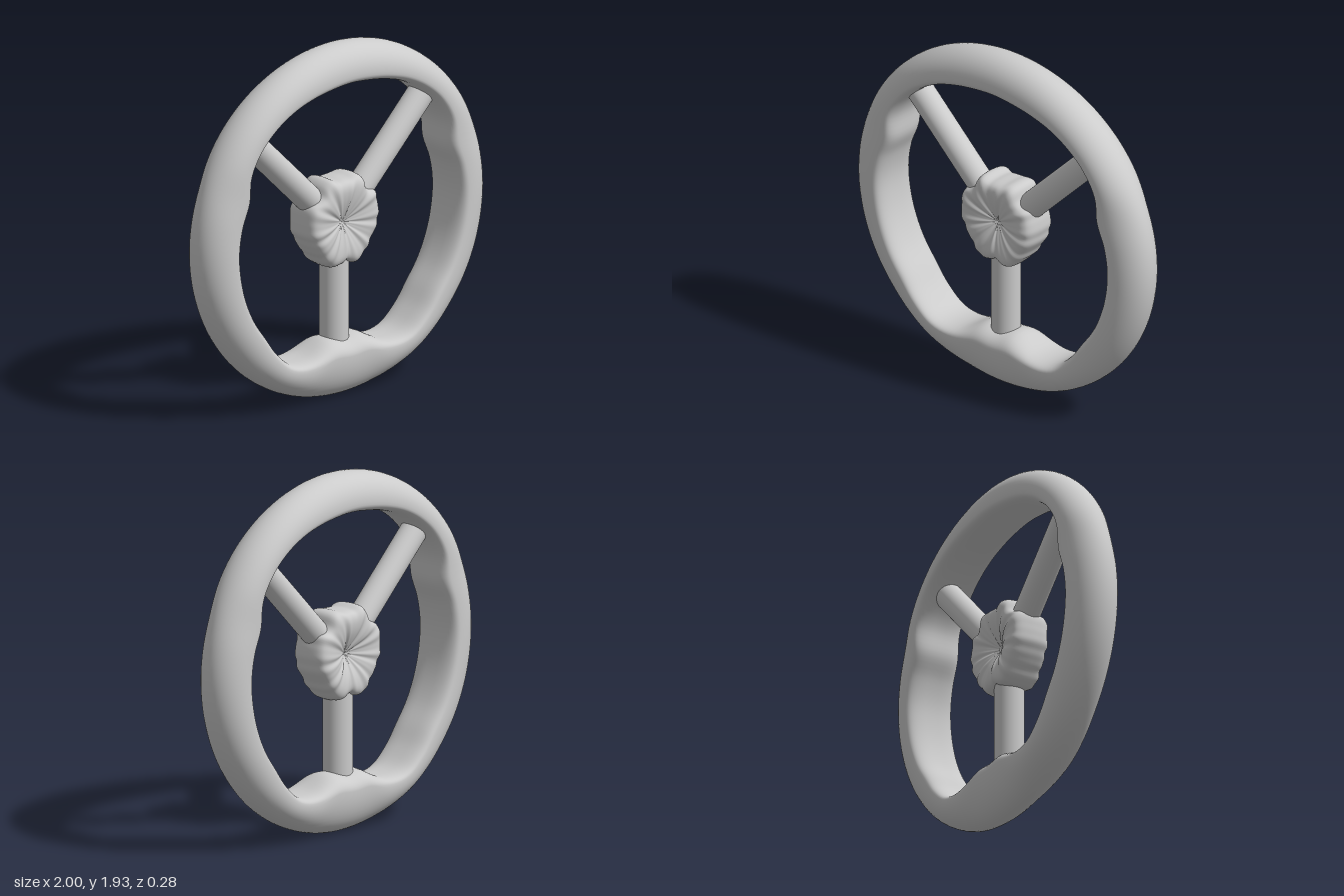
import * as THREE from 'three';

const CY = 0.967; // height of the wheel centre
const TAU = Math.PI * 2;
const material = new THREE.MeshStandardMaterial({ color: 0xcccccc });

// Smooth lookup in a table of evenly spaced values, u in 0..1
function sample(table, u) {
  const f = u * (table.length - 1);
  const i = Math.min(Math.floor(f), table.length - 2);
  const t = f - i;
  const at = (k) => table[Math.max(0, Math.min(table.length - 1, k))];
  const [a, b, c, d] = [at(i - 1), at(i), at(i + 1), at(i + 2)];
  return b + 0.5 * t * (c - a + t * (2 * a - 5 * b + 4 * c - d + t * (3 * (b - c) + d - a)));
}

// Mesh swept around the z axis; point(angle, v) gives [radius, z]
function sweep(name, nu, nv, closed, point) {
  const pos = [], index = [];
  const rows = closed ? nv : nv + 1;
  for (let i = 0; i < nu; i++) {
    const a = (i / nu) * TAU;
    for (let j = 0; j < rows; j++) {
      const [r, z] = point(a, j / nv);
      pos.push(r * Math.cos(a), r * Math.sin(a), z);
    }
  }
  for (let i = 0; i < nu; i++) {
    for (let j = 0; j < nv; j++) {
      const i2 = (i + 1) % nu, j2 = (j + 1) % rows;
      const a = i * rows + j, b = i2 * rows + j, c = i2 * rows + j2, d = i * rows + j2;
      index.push(a, b, c, a, c, d);
    }
  }
  const geo = new THREE.BufferGeometry();
  geo.setAttribute('position', new THREE.Float32BufferAttribute(pos, 3));
  geo.setIndex(index);
  geo.computeVertexNormals();
  const mesh = new THREE.Mesh(geo, material);
  mesh.name = name;
  return mesh;
}

// 0 at the bottom, 1 at the top, the same on both sides
const climb = (a) => Math.asin(Math.max(-1, Math.min(1, Math.sin(a)))) / Math.PI + 0.5;

// Inner edge of the rim from bottom to top, with grips and a bulge at the lower spoke
const INNER = [0.645, 0.652, 0.752, 0.806, 0.8, 0.781, 0.783, 0.783, 0.782, 0.78,
  0.768, 0.752, 0.804, 0.816, 0.807, 0.79, 0.77, 0.757, 0.755];

function rimPoint(a, v) {
  const phi = v * TAU, c = Math.cos(phi), s = Math.sin(phi);
  const outer = 1 / Math.hypot(Math.cos(a), Math.sin(a) / CY);
  const inner = sample(INNER, climb(a));
  const bulge = THREE.MathUtils.smoothstep(0.78 - inner, 0.02, 0.13);
  const width = outer - inner, mid = inner + width * 0.28;
  const power = THREE.MathUtils.lerp(0.65, 1, bulge);
  if (c >= 0) return [mid + (outer - mid) * c, 0.14 * s];
  return [mid - (mid - inner) * Math.pow(-c, power), 0.14 * Math.sign(s) * Math.pow(Math.abs(s), power)];
}

// Hub outline from bottom to top, bulging beside each spoke
const HUB = [0.215, 0.238, 0.255, 0.248, 0.238, 0.232, 0.23, 0.236, 0.242, 0.246,
  0.25, 0.255, 0.262, 0.235, 0.232, 0.262, 0.265, 0.24, 0.238];

// Cushion section: puckered at the middle of both faces
const HUB_Z = [0.06, 0.078, 0.093, 0.104, 0.11, 0.111, 0.105, 0.09, 0.058, 0];

function hubPoint(a, v) {
  const side = v < 0.5 ? -1 : 1;
  const u = 1 - Math.abs(1 - 2 * v);
  const rho = Math.sin((u * Math.PI) / 2);
  const fold = Math.sin(14 * a) + 0.5 * Math.sin(23 * a + 1);
  const z = sample(HUB_Z, Math.min(1, u)) + 0.0035 * fold * Math.sin(u * Math.PI);
  const pit = side < 0 ? 0.015 * Math.exp(-u * u * 20) : 0;
  return [rho * (sample(HUB, climb(a)) + 0.002 * fold * u), side * (z - pit)];
}

// Round bar between two points in the wheel plane
function spoke(name, from, to, radius) {
  const a = new THREE.Vector3(...from, 0), b = new THREE.Vector3(...to, 0);
  const dir = b.clone().sub(a);
  const mesh = new THREE.Mesh(new THREE.CylinderGeometry(radius, radius, dir.length(), 40), material);
  mesh.position.copy(a).add(b).multiplyScalar(0.5);
  mesh.quaternion.setFromUnitVectors(new THREE.Vector3(0, 1, 0), dir.normalize());
  mesh.name = name;
  return mesh;
}

export function createModel() {
  const model = new THREE.Group();
  model.name = 'steeringWheel';

  const rim = sweep('rim', 180, 48, true, rimPoint);
  rim.position.y = CY;
  model.add(rim);

  const hub = sweep('hub', 144, 48, false, hubPoint);
  hub.position.set(-0.014, 0.96, 0);
  model.add(hub);

  model.add(
    spoke('leftSpoke', [0.07, 1.0], [0.62, 1.54], 0.073),
    spoke('rightSpoke', [-0.08, 1.0], [-0.62, 1.52], 0.073),
    spoke('lowerSpoke', [-0.014, 0.85], [-0.014, 0.2], 0.08),
  );
  return model;
}
